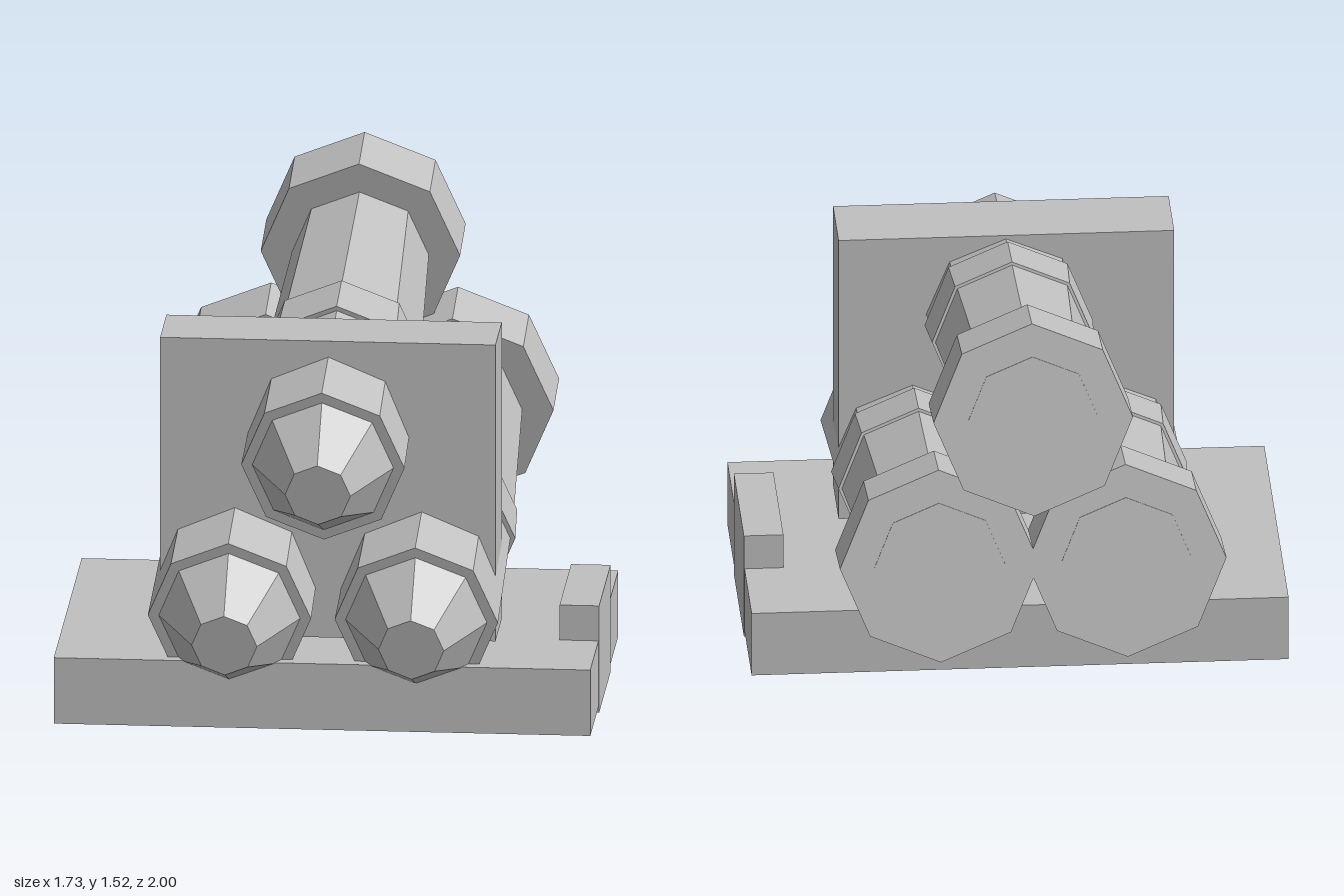
import * as THREE from 'three';

const TILT = THREE.MathUtils.degToRad(10);

export function createModel() {
  const model = new THREE.Group();
  model.name = 'tubeLauncher';
  const grey = new THREE.MeshStandardMaterial({ color: 0xc0c0c0 });
  grey.name = 'plain grey';
  grey.flatShading = true;

  // Box given by its minimum and maximum corners
  function block(name, min, max) {
    const size = max.map((v, i) => v - min[i]);
    const mesh = new THREE.Mesh(new THREE.BoxGeometry(...size), grey);
    mesh.position.set(...max.map((v, i) => (v + min[i]) / 2));
    mesh.name = name;
    model.add(mesh);
  }

  // Octagonal sections along the axis: name, start, end, start radius, end radius
  const sections = [
    ['rearCollar', 0, 0.228, 0.32, 0.32],
    ['rearTube', -0.002, 0.95, 0.21, 0.25],
    ['ringBand', 0.941, 1.145, 0.26, 0.27],
    ['frontSleeve', 1.14, 1.75, 0.254, 0.262],
    ['taperedNose', 1.75, 1.957, 0.227, 0.105],
  ].map(([name, a, b, r0, r1]) => {
    const geometry = new THREE.CylinderGeometry(r1, r0, b - a, 8);
    geometry.translate(0, (a + b) / 2, 0);
    return { name, geometry };
  });

  // One tube, placed by the centre of its rear end
  function tube(name, x, y) {
    const group = new THREE.Group();
    group.name = name;
    for (const s of sections) {
      const mesh = new THREE.Mesh(s.geometry, grey);
      mesh.name = s.name;
      group.add(mesh);
    }
    group.rotation.x = Math.PI / 2 + TILT;
    group.position.set(x, y, -0.945);
    model.add(group);
  }

  tube('upperTube', 0, 1.2);
  tube('lowerLeftTube', 0.3, 0.69);
  tube('lowerRightTube', -0.3, 0.69);

  // Mount
  block('basePlate', [-0.863, 0.02, -0.322], [0.86, 0.24, 0.792]);
  block('holderPlate', [-0.54, 0.26, 0.31], [0.537, 1.25, 0.563]);
  block('sideBlock', [0.735, 0, 0.007], [0.862, 0.357, 0.465]);

  return model;
}
